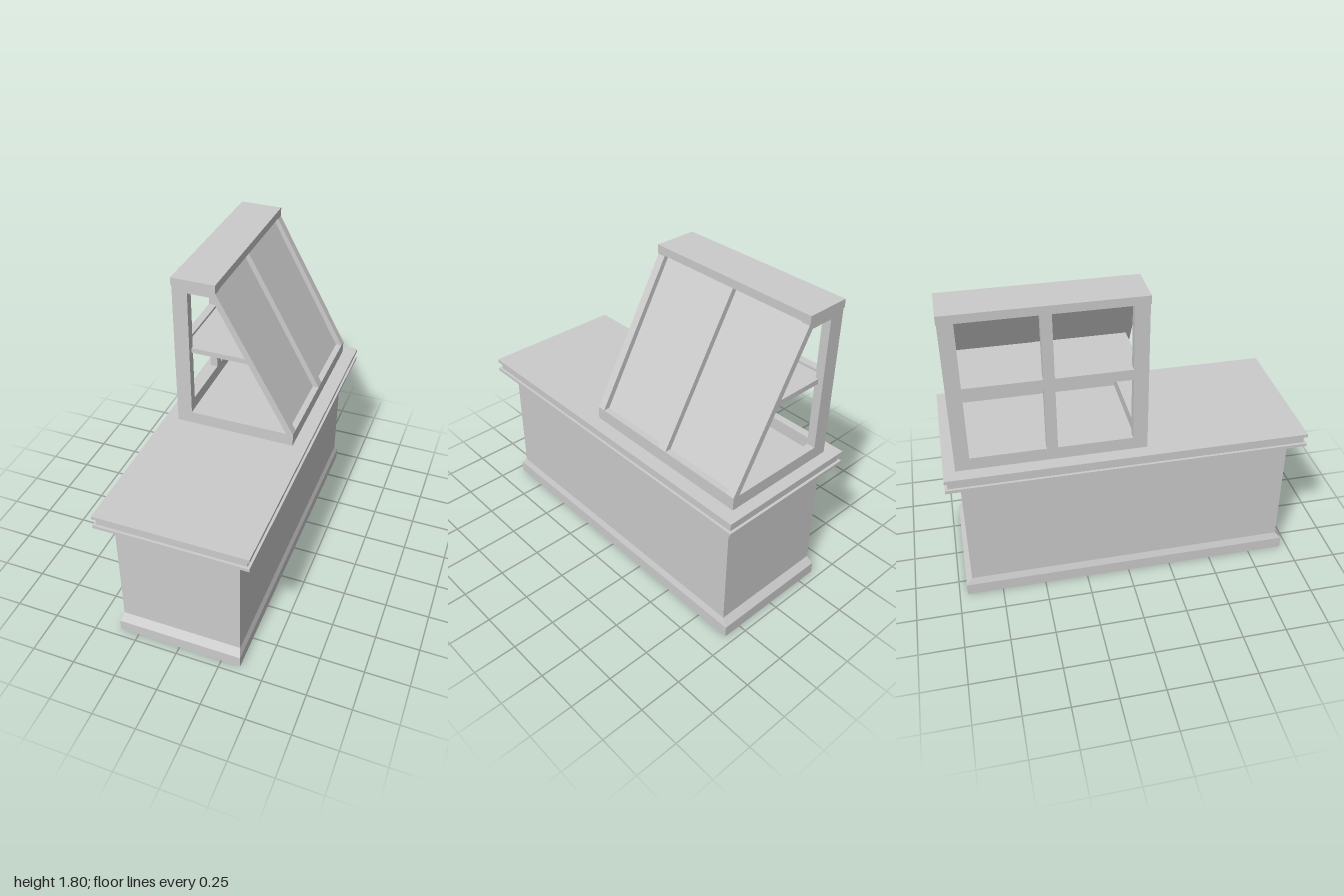
import * as THREE from 'three';

const material = new THREE.MeshStandardMaterial({ color: 0xcccccc, side: THREE.DoubleSide });

export function createModel() {
  const model = new THREE.Group();
  model.name = 'counterWithDisplayCase';

  const add = (name, geometry, parent = model) => {
    const mesh = new THREE.Mesh(geometry, material);
    mesh.name = name;
    parent.add(mesh);
    return mesh;
  };
  // Box given by its limits on each axis
  const box = (name, [x0, x1], [y0, y1], [z0, z1], parent) => {
    const geometry = new THREE.BoxGeometry(x1 - x0, y1 - y0, z1 - z0);
    geometry.translate((x0 + x1) / 2, (y0 + y1) / 2, (z0 + z1) / 2);
    return add(name, geometry, parent);
  };
  const outline = (points) => points.map(([a, b]) => new THREE.Vector2(a, b));
  // Side profile in x and y, extruded from z0 to z1
  const extrude = (name, points, [z0, z1], holes = [], parent = model) => {
    const shape = new THREE.Shape(outline(points));
    holes.forEach((hole) => shape.holes.push(new THREE.Path(outline(hole))));
    const geometry = new THREE.ExtrudeGeometry(shape, { depth: z1 - z0, bevelEnabled: false });
    geometry.translate(0, 0, z0);
    return add(name, geometry, parent);
  };

  // Cabinet with plinth and sloped moulding
  box('plinth', [-0.36, 0.36], [0, 0.07], [-0.955, 0.955]);
  const flare = new THREE.BoxGeometry(0.72, 0.04, 1.91);
  const p = flare.attributes.position;
  for (let i = 0; i < p.count; i++) {
    if (p.getY(i) > 0) p.setXYZ(i, Math.sign(p.getX(i)) * 0.347, p.getY(i), Math.sign(p.getZ(i)) * 0.92);
  }
  flare.computeVertexNormals();
  flare.translate(0, 0.09, 0);
  add('plinthMoulding', flare);
  box('cabinetBody', [-0.347, 0.347], [0.11, 0.805], [-0.92, 0.92]);

  // Layered countertop
  [
    ['counterTrim', 0.405, 0.96, 0.803, 0.81],
    ['counterLowerSlab', 0.425, 1, 0.81, 0.828],
    ['counterGroove', 0.41, 0.985, 0.828, 0.87],
    ['counterTop', 0.425, 1, 0.87, 0.89],
  ].forEach(([name, x, z, y0, y1]) => box(name, [-x, x], [y0, y1], [-z, z]));

  // Display case: limits along z and the centre post
  const displayCase = new THREE.Group();
  displayCase.name = 'displayCase';
  model.add(displayCase);
  const back = -0.935, front = 0.1, stile = 0.047;
  const mullion = [-0.447, -0.388];

  // Sloped end frames with an open window
  const frame = [[-0.347, 0.89], [0.345, 0.89], [0.345, 0.965], [-0.1, 1.75], [-0.1, 1.8], [-0.347, 1.8]];
  const opening = [[-0.26, 0.962], [0.305, 0.962], [-0.125, 1.725], [-0.26, 1.725]];
  extrude('frontEndFrame', frame, [front - stile, front], [opening], displayCase);
  extrude('backEndFrame', frame, [back, back + stile], [opening], displayCase);

  // Top cap, sill and sloped centre bar
  box('caseTop', [-0.35, -0.1], [1.755, 1.802], [back - 0.003, front + 0.004], displayCase);
  box('caseSill', [0.3, 0.345], [0.89, 0.965], [back + stile, front - stile], displayCase);
  extrude('slopedBar', [[0.305, 0.962], [0.345, 0.965], [-0.1, 1.755], [-0.14, 1.755]], mullion, [], displayCase);

  // Recessed sloped panes
  const pane = [[0.303, 0.962], [0.311, 0.962], [-0.136, 1.757], [-0.144, 1.757]];
  extrude('rearPane', pane, [back + stile, mullion[0]], [], displayCase);
  extrude('frontPane', pane, [mullion[1], front - stile], [], displayCase);

  // Upright window frame with four openings
  const x = [-0.347, -0.302];
  box('windowBottomRail', x, [0.89, 0.962], [back, front], displayCase);
  box('windowMiddleRail', x, [1.33, 1.39], [back, front], displayCase);
  [[back, back + 0.08], mullion, [front - 0.08, front]].forEach((z, i) =>
    box(['windowRearPost', 'windowCentrePost', 'windowFrontPost'][i], x, [0.89, 1.755], z, displayCase));

  // Shelf, cut to meet the slope
  extrude('shelf', [[-0.305, 1.345], [0.09, 1.345], [0.073, 1.375], [-0.305, 1.375]],
    [back + 0.03, front - 0.03], [], displayCase);

  return model;
}
